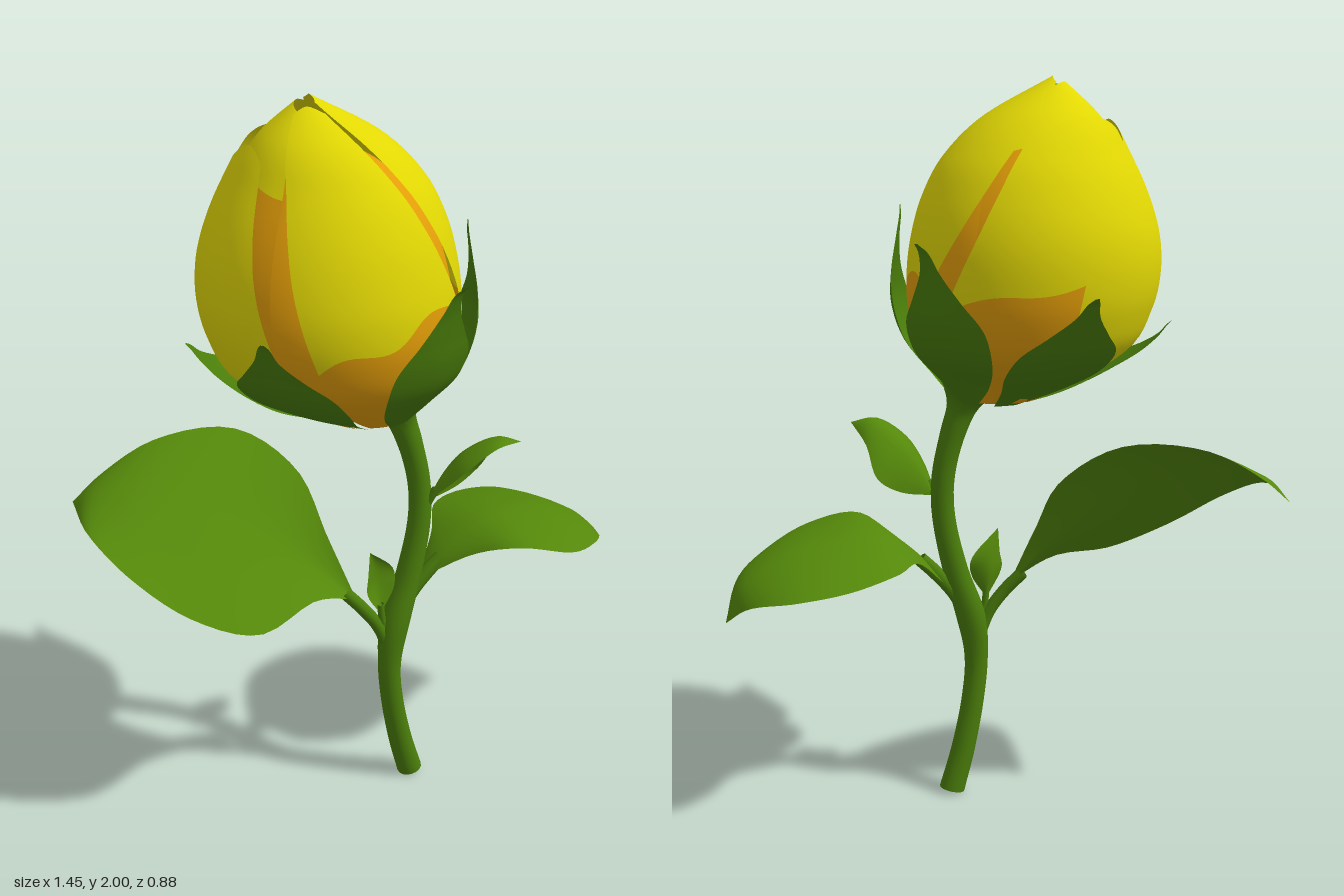
import * as THREE from 'three';

const mat = (name, color) => {
  const m = new THREE.MeshStandardMaterial({ color, side: THREE.DoubleSide });
  m.name = name;
  return m;
};
const V = (x, y, z) => new THREE.Vector3(x, y, z);
const rad = THREE.MathUtils.degToRad;
const lerp = THREE.MathUtils.lerp;

// Smooth sheet from a point function of u and v, both 0..1
function sheet(nu, nv, fn, wrap = false) {
  const pos = [], idx = [], cols = wrap ? nu : nu + 1;
  for (let j = 0; j <= nv; j++)
    for (let i = 0; i < cols; i++) pos.push(...fn(i / nu, j / nv).toArray());
  for (let j = 0; j < nv; j++)
    for (let i = 0; i < nu; i++) {
      const a = j * cols + i, b = j * cols + (i + 1) % cols;
      idx.push(a, b, a + cols, b, b + cols, a + cols);
    }
  const g = new THREE.BufferGeometry();
  g.setAttribute('position', new THREE.Float32BufferAttribute(pos, 3));
  g.setIndex(idx);
  g.computeVertexNormals();
  return g;
}

// Bud body: centre x, radius, centre z at every 0.1 of height from 1.1 to 2.0
const budCurve = new THREE.CatmullRomCurve3([
  V(0.04, 0.02, 0.065), V(-0.045, 0.155, 0.035), V(-0.08, 0.27, 0.015), V(-0.09, 0.315, 0.01),
  V(-0.098, 0.327, 0.005), V(-0.1, 0.317, 0), V(-0.1, 0.287, 0), V(-0.105, 0.236, 0),
  V(-0.13, 0.155, 0), V(-0.17, 0.012, 0)], false, 'catmullrom', 0.5);

// Point on the bud at an angle (0 = front, 90 = model's left) and height
function onBud(deg, y, off = 0) {
  const c = budCurve.getPoint(THREE.MathUtils.clamp((y - 1.1) / 0.9, 0, 1));
  const r = Math.max(c.y + off, 0.004), a = rad(deg);
  return V(c.x + r * Math.sin(a), y, c.z + r * Math.cos(a));
}

// Blade through rows of [one edge, midrib, other edge], with a soft fold at the midrib
function blade(rows, nu = 12, nv = 28) {
  const [L, M, R] = [0, 1, 2].map(k => new THREE.CatmullRomCurve3(rows.map(r => r[k])));
  return sheet(nu, nv, (u, v) => {
    const s = u * 2 - 1, l = L.getPoint(v), m = M.getPoint(v), r = R.getPoint(v);
    const curved = l.clone().multiplyScalar(s * (s - 1) / 2)
      .addScaledVector(m, 1 - s * s).addScaledVector(r, s * (s + 1) / 2);
    const straight = m.clone().lerp(s < 0 ? l : r, Math.abs(s));
    return curved.lerp(straight, 0.3);
  });
}
const row = (...n) => n.length === 3
  ? [V(...n), V(...n), V(...n)]
  : [V(n[0], n[1], n[2]), V(n[3], n[4], n[5]), V(n[6], n[7], n[8])];

export function createModel() {
  const group = new THREE.Group();
  const leafGreen = mat('leaf green', 0x54880a);
  const stemGreen = mat('stem green', 0x4a7d0a);
  const yellow = mat('petal yellow', 0xe2d804);
  const orange = mat('petal orange', 0xe49e08);
  const add = (name, geo, m) => {
    const mesh = new THREE.Mesh(geo, m);
    mesh.name = name;
    group.add(mesh);
  };

  // Stem, swelling into the base of the bud
  const rings = [[0.1, 0.01, 0.095, 0.035], [0.065, 0.13, 0.095, 0.034], [0.035, 0.27, 0.097, 0.032],
    [0.022, 0.4, 0.1, 0.033], [0.04, 0.53, 0.1, 0.042], [0.085, 0.67, 0.1, 0.036],
    [0.117, 0.82, 0.1, 0.032], [0.12, 0.94, 0.092, 0.032], [0.095, 1.06, 0.08, 0.036],
    [0.064, 1.14, 0.068, 0.05], [0.02, 1.2, 0.05, 0.11]];
  const path = new THREE.CatmullRomCurve3(rings.map(r => V(r[0], r[1], r[2])), false, 'catmullrom');
  const size = new THREE.CatmullRomCurve3(rings.map(r => V(r[3], 0, 0)), false, 'catmullrom');
  add('stem', sheet(16, 50, (u, v) => {
    const c = path.getPoint(v), r = size.getPoint(v).x, a = u * Math.PI * 2;
    const slant = v < 0.12 ? (0.12 - v) * 2 : 0;
    return V(c.x + r * Math.sin(a), c.y + slant * r * Math.sin(a), c.z + r * Math.cos(a));
  }, true), stemGreen);
  const foot = new THREE.CircleGeometry(0.035, 16);
  foot.rotateX(Math.PI / 2).rotateZ(0.235).translate(0.1, 0.01, 0.095);
  add('stemEnd', foot, stemGreen);

  // Leaf stalks
  const stalks = {
    rightLeafStalk: [0.018, [0.02, 0.44, 0.1], [-0.015, 0.53, 0.095], [-0.055, 0.59, 0.08], [-0.1, 0.645, 0.055]],
    leftLeafStalk: [0.02, [0.045, 0.52, 0.1], [0.09, 0.6, 0.1], [0.14, 0.66, 0.11], [0.18, 0.7, 0.12]],
    upperLeafStalk: [0.012, [0.115, 0.8, 0.1], [0.135, 0.88, 0.115], [0.15, 0.92, 0.13]],
    budLeafStalk: [0.01, [0.015, 0.48, 0.1], [-0.002, 0.54, 0.1], [-0.01, 0.6, 0.1]],
  };
  for (const [name, [r, ...pts]] of Object.entries(stalks))
    add(name, new THREE.TubeGeometry(new THREE.CatmullRomCurve3(pts.map(p => V(...p))), 14, r, 8), stemGreen);

  // Leaves
  add('rightLeaf', blade([
    row(-0.07, 0.62, 0.07),
    row(-0.11, 0.79, -0.01, -0.17, 0.735, 0.01, -0.21, 0.67, 0.09),
    row(-0.13, 0.95, -0.13, -0.3, 0.86, -0.07, -0.42, 0.66, 0.14),
    row(-0.25, 1.06, -0.25, -0.44, 0.94, -0.14, -0.58, 0.73, 0.08),
    row(-0.45, 1.05, -0.33, -0.58, 0.97, -0.23, -0.69, 0.83, -0.03),
    row(-0.6, 0.97, -0.37, -0.66, 0.95, -0.31, -0.73, 0.9, -0.18),
    row(-0.68, 0.9, -0.39)]), leafGreen);
  add('leftLeaf', blade([
    row(0.12, 0.63, 0.09),
    row(0.22, 0.72, 0.02, 0.2, 0.73, 0.12, 0.22, 0.74, 0.22),
    row(0.32, 0.735, -0.1, 0.31, 0.79, 0.12, 0.29, 0.79, 0.34),
    row(0.47, 0.72, -0.15, 0.47, 0.785, 0.12, 0.42, 0.76, 0.39),
    row(0.6, 0.7, -0.12, 0.6, 0.745, 0.125, 0.57, 0.715, 0.32),
    row(0.69, 0.66, 0, 0.69, 0.68, 0.13, 0.67, 0.67, 0.23),
    row(0.725, 0.58, 0.14)]), leafGreen);
  add('upperLeaf', blade([
    row(0.135, 0.88, 0.11),
    row(0.14, 0.96, 0.2, 0.18, 0.97, 0.13, 0.24, 0.9, 0.11),
    row(0.17, 1.02, 0.25, 0.22, 1.03, 0.16, 0.3, 0.94, 0.12),
    row(0.24, 1.07, 0.275, 0.28, 1.08, 0.225, 0.31, 1.02, 0.18),
    row(0.325, 1.07, 0.27)], 8, 20), leafGreen);
  add('budLeaf', blade([
    row(-0.01, 0.57, 0.1),
    row(-0.06, 0.65, 0.11, -0.01, 0.65, 0.08, 0.035, 0.64, 0.1),
    row(-0.05, 0.7, 0.1, -0.01, 0.7, 0.08, 0.04, 0.69, 0.09),
    row(-0.045, 0.77, 0.1)], 8, 16), leafGreen);

  // Bud core, seen between the petals
  add('budCore', sheet(40, 30, (u, v) => onBud(u * 360, lerp(1.16, 2, v), -0.022)
    .setY(lerp(1.16, 1.93, v)), true), orange);

  // Petals: edge angles run from base to top, eased by a power; the lower patch is orange
  const petals = [
    { name: 'innerPetal', a: [130, 130], b: [300, 300], ease: 1, top: 1.985, drop: 0.02, off: -0.008, base: 0.8, tilt: 0 },
    { name: 'leftPetal', a: [70, 4], b: [72, 160], ease: 1, top: 2, drop: 0.015, off: 0, base: 0.4, tilt: 0 },
    { name: 'backPetal', a: [98, 150], b: [215, 250], ease: 1, top: 1.9, drop: 0.05, off: 0.012, base: 0.46, tilt: 0.08 },
    { name: 'frontPetal', a: [-32, -62], b: [60, -2], ease: 1, top: 1.98, drop: 0.015, off: 0.01, base: 0.38, tilt: 0.09 },
    { name: 'rightPetal', a: [178, 242], b: [313, 284], ease: 5, top: 1.89, drop: 0.03, off: 0.017, base: 0.14, tilt: -0.06 },
  ];
  for (const p of petals) {
    const point = (u, v) => {
      const s = u * 2 - 1, y = lerp(1.16, p.top - p.drop * s * s, v);
      const deg = lerp(lerp(p.a[0], p.a[1], v ** p.ease), lerp(p.b[0], p.b[1], v), u);
      return onBud(deg, y, p.off);
    };
    const split = u => p.base + p.tilt * (u * 2 - 1) + 0.02 * Math.sin(u * 11);
    add(p.name + 'Base', sheet(28, 14, (u, v) => point(u, v * split(u))), orange);
    add(p.name, sheet(28, 32, (u, v) => point(u, lerp(split(u), 1, v))), yellow);
  }

  // Sepals hugging the bud, each ending in a curled tip
  const sepals = [
    [12, 0, 1.61, 0.44], [62, 0.21, 1.67, 0.16], [118, 0.285, 1.6, -0.17],
    [178, -0.08, 1.48, -0.44], [240, -0.43, 1.37, -0.17], [302, -0.45, 1.5, 0.25],
  ];
  // Each row: share of the height, half width, distance off the bud, pull towards the tip
  const profile = [[0, 0.03, 0.01, 0], [0.16, 0.085, 0.025, 0], [0.34, 0.13, 0.038, 0], [0.52, 0.13, 0.045, 0],
    [0.68, 0.08, 0.045, 0.12], [0.84, 0.032, 0.045, 0.4], [0.95, 0.016, 0.045, 0.7], [1, 0.005, 0, 1]];
  sepals.forEach(([deg, ...t], i) => {
    const a = rad(deg), tip = V(...t);
    const side = V(Math.cos(a), 0, -Math.sin(a)), out = V(Math.sin(a), 0, Math.cos(a));
    const rows = profile.map(([f, w, off, pull]) => {
      const y = lerp(1.15, tip.y, f);
      const p = onBud(deg, y, off).lerp(V(tip.x, y, tip.z), pull);
      const edge = s => p.clone().addScaledVector(side, s * w).addScaledVector(out, -w * w * 1.5);
      return [edge(-1), p, edge(1)];
    });
    add('sepal' + (i + 1), blade(rows, 10, 32), stemGreen);
  });

  return group;
}
